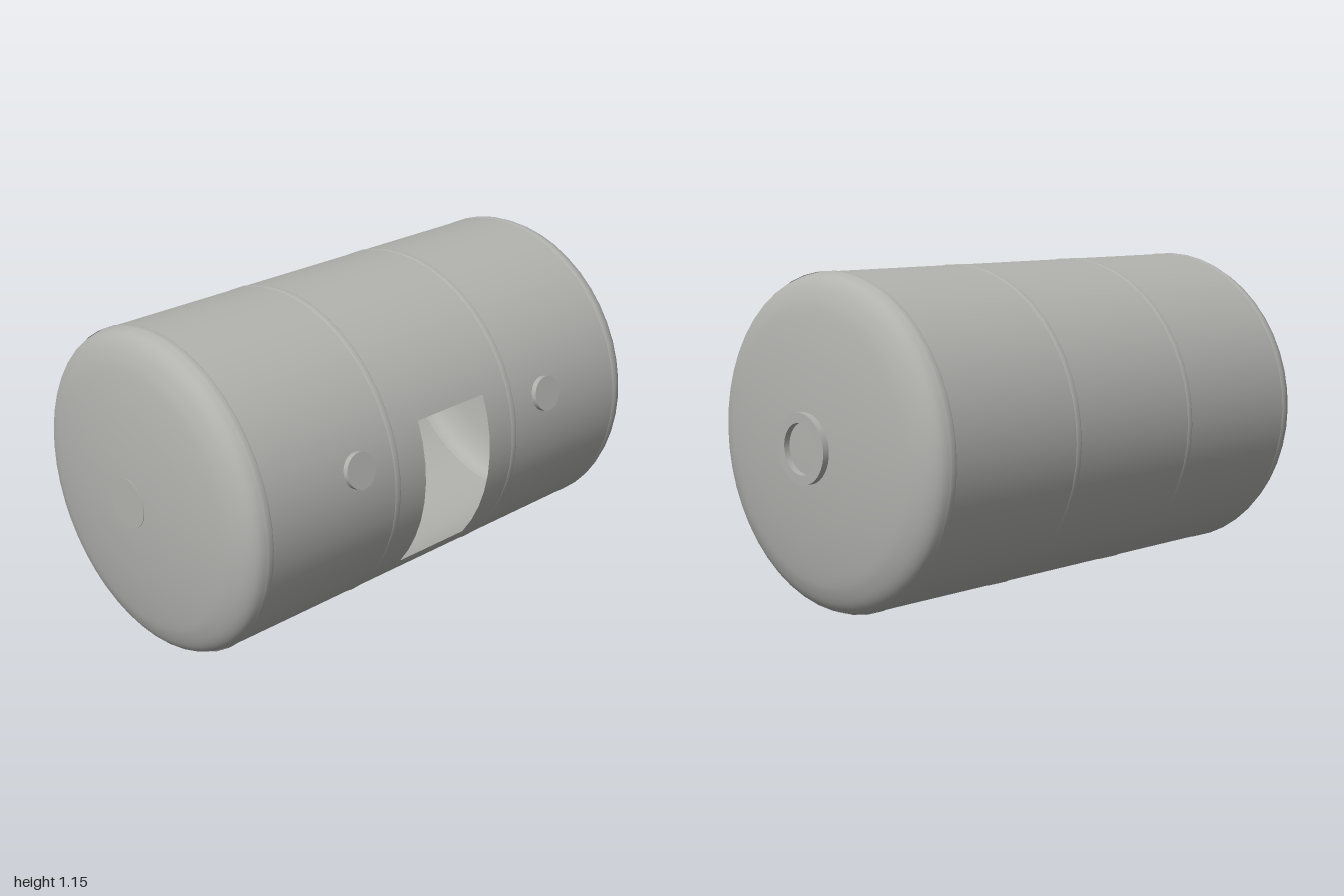
import * as THREE from 'three';
import { toCreasedNormals } from 'three/addons/utils/BufferGeometryUtils.js';

const R = 0.575, SIDES = 48, LEFT_X = -0.87, RIGHT_X = 0.85;
const rad = THREE.MathUtils.degToRad;
const v = (r, y) => new THREE.Vector2(r, y);

export function createModel() {
  const model = new THREE.Group();
  const steel = new THREE.MeshStandardMaterial({ color: 0xb2b2af, side: THREE.DoubleSide });
  steel.name = 'steel grey';

  // The tank is modelled along y and laid over, so +y becomes +x
  const tank = new THREE.Group();
  tank.name = 'tank';
  tank.position.set(0, 0.58, -0.005);
  model.add(tank);

  const lay = (geometry, name, x, sign = 1) => {
    const mesh = new THREE.Mesh(geometry, steel);
    mesh.name = name;
    mesh.rotation.z = -sign * Math.PI / 2;
    mesh.position.x = x;
    tank.add(mesh);
    return mesh;
  };

  // Shell: two full sections and a middle one left open at the front
  const section = (name, x0, x1, start = 0, sweep = 360) => lay(
    new THREE.CylinderGeometry(R, R, x1 - x0, Math.round(SIDES * sweep / 360), 1, true, rad(start), rad(sweep)),
    name, (x0 + x1) / 2);
  section('shellRight', LEFT_X, -0.17);
  section('shellOpening', -0.17, 0.15, 37.5, 300);
  section('shellLeft', 0.15, RIGHT_X);

  // Dished ends
  const dishCurve = new THREE.SplineCurve([
    v(R, 0), v(0.565, 0.03), v(0.54, 0.055), v(0.5, 0.075), v(0.45, 0.09),
    v(0.35, 0.107), v(0.24, 0.119), v(0.12, 0.127), v(0, 0.129)]);
  const dish = new THREE.LatheGeometry(dishCurve.getPoints(28), SIDES);
  lay(dish, 'leftDishedEnd', RIGHT_X);
  lay(dish, 'rightDishedEnd', LEFT_X, -1);

  // Slightly raised weld seams
  const seam = new THREE.LatheGeometry(
    [v(R, -0.012), v(R + 0.002, -0.007), v(R + 0.002, 0.007), v(R, 0.012)], SIDES);
  [-0.865, -0.302, 0.278, 0.846].forEach((x, i) => lay(seam, 'weldSeam' + (i + 1), x));

  // Ring flange on the left end
  const ring = new THREE.LatheGeometry(
    [v(0.12, 0), v(0.12, 0.035), v(0.087, 0.035), v(0.087, 0)], 40);
  lay(toCreasedNormals(ring, rad(35)), 'endFlange', 0.965);

  // Flush disc on the right end
  lay(new THREE.CylinderGeometry(0.09, 0.09, 0.01, 32), 'endDisc', -0.995);

  // Two short capped ports, tilted up to follow the shell
  for (const x of [-0.47, 0.45]) {
    const port = new THREE.Group();
    port.name = 'frontPort';
    port.position.x = x;
    port.rotation.x = rad(90 - 14.5);
    const stub = new THREE.Mesh(new THREE.CylinderGeometry(0.063, 0.063, 0.04, 32), steel);
    stub.name = 'portStub';
    stub.position.y = 0.573;
    port.add(stub);
    tank.add(port);
  }
  return model;
}
